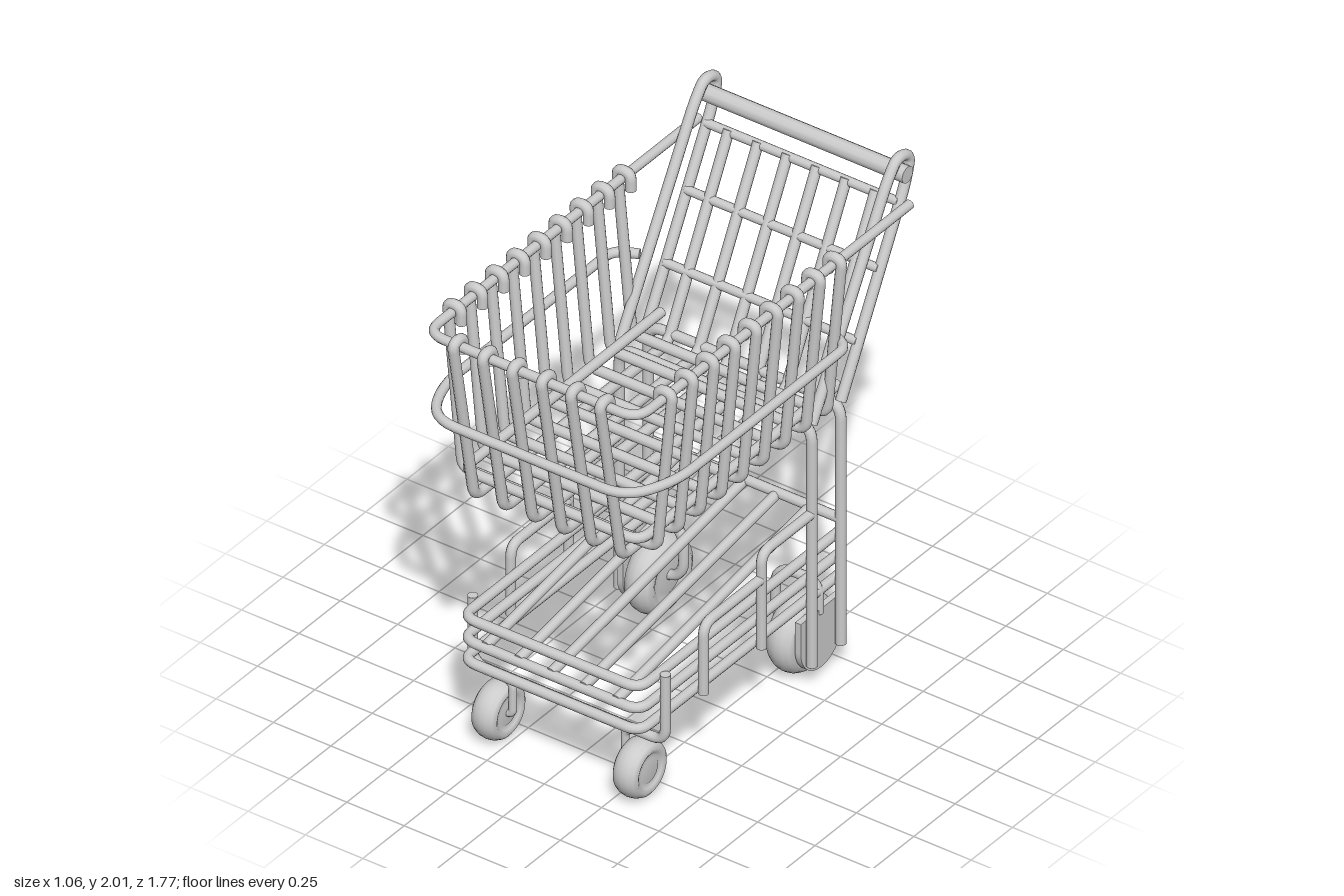
import * as THREE from 'three';
import { mergeGeometries } from 'three/addons/utils/BufferGeometryUtils.js';

const material = new THREE.MeshStandardMaterial({ color: 0xcccccc, side: THREE.DoubleSide });
const V = (x, y, z) => new THREE.Vector3(x, y, z);

// Curve that visits each listed point at equal steps of u
class Polyline extends THREE.Curve {
  constructor(points) { super(); this.points = points; }
  getPoint(u) {
    const f = u * (this.points.length - 1);
    const i = Math.min(Math.floor(f), this.points.length - 2);
    return this.points[i].clone().lerp(this.points[i + 1], f - i);
  }
  getPointAt(u) { return this.getPoint(u); }
  getTangentAt(u) {
    const n = this.points.length - 1, i = Math.round(u * n);
    const a = this.points[Math.max(i - 1, 0)], b = this.points[Math.min(i + 1, n)];
    return b.clone().sub(a).normalize();
  }
}

// Rounds the corners of a path with short curves
function roundPath(path, r) {
  const out = [path[0]];
  for (let i = 1; i < path.length - 1; i++) {
    const p = path[i], a = path[i - 1].clone().sub(p), b = path[i + 1].clone().sub(p);
    const d = Math.min(r, a.length() * 0.49, b.length() * 0.49);
    const bend = new THREE.QuadraticBezierCurve3(
      p.clone().addScaledVector(a.normalize(), d), p, p.clone().addScaledVector(b.normalize(), d));
    out.push(...bend.getPoints(6));
  }
  out.push(path[path.length - 1]);
  return out;
}

// Bent wire with closed ends
function wire(group, name, path, radius = 0.02, bend = 0.05) {
  const pts = roundPath(path, bend);
  const parts = [new THREE.TubeGeometry(new Polyline(pts), pts.length - 1, radius, 10, false)];
  for (const [end, next] of [[pts[0], pts[1]], [pts[pts.length - 1], pts[pts.length - 2]]]) {
    const cap = new THREE.CircleGeometry(radius, 10);
    const dir = end.clone().sub(next).normalize();
    cap.applyQuaternion(new THREE.Quaternion().setFromUnitVectors(V(0, 0, 1), dir));
    cap.translate(end.x, end.y, end.z);
    parts.push(cap);
  }
  const mesh = new THREE.Mesh(mergeGeometries(parts), material);
  mesh.name = name;
  group.add(mesh);
  return mesh;
}

// Completes a left half path with its mirror image
const mirrored = (half) => [...half, ...half.map(p => V(-p.x, p.y, p.z)).reverse()];

// Wheel with rounded tyre and a raised hub on both faces
function wheel(group, name, x, y, z, r, width) {
  const h = width / 2;
  const profile = [
    [0, -h * 0.8], [r * 0.42, -h * 0.8], [r * 0.5, -h * 0.68], [r * 0.6, -h * 0.85],
    [r * 0.74, -h], [r * 0.88, -h * 0.8], [r * 0.97, -h * 0.42], [r, 0],
  ];
  const all = [...profile, ...profile.slice(0, -1).map(([a, b]) => [a, -b]).reverse()];
  const geo = new THREE.LatheGeometry(all.map(([a, b]) => new THREE.Vector2(a, b)), 32);
  geo.rotateZ(Math.PI / 2);
  const mesh = new THREE.Mesh(geo, material);
  mesh.name = name;
  mesh.position.set(x, y, z);
  group.add(mesh);
}

export function createModel() {
  const cart = new THREE.Group();
  cart.name = 'shoppingCart';
  const sub = (name) => {
    const g = new THREE.Group();
    g.name = name;
    cart.add(g);
    return g;
  };
  const ribXs = [-0.32, -0.192, -0.064, 0.064, 0.192, 0.32];

  // Basket rails
  const basket = sub('basket');
  wire(basket, 'upperRim', mirrored([V(0.46, 1.8, -0.82), V(0.46, 1.8, 0.825)]), 0.019, 0.08);
  wire(basket, 'middleRail', mirrored([V(0.42, 1.46, -0.41), V(0.51, 1.46, -0.37),
    V(0.51, 1.46, 0.66), V(0.42, 1.46, 0.845)]), 0.019, 0.1);
  const lowerRail = (g, name, y) =>
    wire(g, name, mirrored([V(0.385, y, -0.49), V(0.385, y, 0.71)]), 0.02, 0.06);
  lowerRail(basket, 'floorRail', 1.18);

  // Cross ribs hooked over both side rims
  for (let i = 0; i < 9; i++) {
    const z = 0.655 - i * 0.128;
    wire(basket, 'crossRib', mirrored([V(0.43, 1.755, z), V(0.43, 1.825, z),
      V(0.49, 1.825, z), V(0.425, 1.14, z)]), 0.021, 0.045);
  }
  // Long ribs: front hook, front, floor and sloping back
  for (const x of ribXs) {
    wire(basket, 'longRib', [V(x, 1.76, 0.8), V(x, 1.825, 0.795), V(x, 1.825, 0.86),
      V(x, 1.1, 0.73), V(x, 1.1, -0.44), V(x, 1.81, -0.81)], 0.021, 0.045);
  }
  // Back panel bars
  for (const [y, z] of [[1.34, -0.56], [1.58, -0.69], [1.8, -0.81]]) {
    wire(basket, 'backBar', [V(0.42, y, z), V(-0.42, y, z)], 0.018);
  }

  // Handle and its side loops
  const handle = sub('handle');
  wire(handle, 'handleGrip', [V(-0.455, 1.927, -0.815), V(0.455, 1.927, -0.815)], 0.034);
  for (const s of [-1, 1]) {
    const x = 0.42 * s;
    wire(handle, 'handleLoop', [V(x, 1.14, -0.285), V(x, 1.92, -0.735), V(x, 2.0, -0.8),
      V(x, 1.97, -0.88), V(x, 1.86, -0.85), V(x, 1.14, -0.46)], 0.021, 0.07);
  }

  // Leg arches
  const frame = sub('frame');
  for (const z of [-0.285, -0.46]) {
    wire(frame, 'legArch', mirrored([V(0.42, 0.1, z), V(0.42, 1.13, z)]), 0.021, 0.07);
  }

  // Lower tray
  const tray = sub('lowerTray');
  for (const y of [0.36, 0.45, 0.545]) lowerRail(tray, 'trayRail', y);
  for (let i = -2; i <= 2; i++) {
    wire(tray, 'traySlat', [V(i * 0.1425, 0.457, 0.71), V(i * 0.1425, 0.63, -0.46)]);
  }
  wire(tray, 'trayBackBar', [V(-0.42, 0.635, -0.46), V(0.42, 0.635, -0.46)]);
  wire(tray, 'frontAxleFrame', mirrored([V(0.42, 0.56, 0.6), V(0.42, 0.27, 0.6)]), 0.02, 0.06);
  for (const s of [-1, 1]) {
    const x = 0.42 * s;
    wire(tray, 'upperStep', [V(x, 0.755, -0.285), V(x, 0.755, 0.02), V(x, 0.35, 0.02)]);
    wire(tray, 'lowerStep', [V(x, 0.645, 0.02), V(x, 0.645, 0.37), V(x, 0.35, 0.37)]);
  }

  // Wheels, forks and rear cover plates
  const wheels = sub('wheels');
  const plate = new THREE.Shape();
  plate.moveTo(0.125, 0.165);
  plate.lineTo(0.125, 0.29);
  plate.lineTo(-0.125, 0.29);
  plate.lineTo(-0.125, 0.165);
  plate.absarc(0, 0.165, 0.125, Math.PI, Math.PI * 2, false);
  const plateGeo = new THREE.ExtrudeGeometry(plate, { depth: 0.025, bevelEnabled: false, curveSegments: 24 });
  plateGeo.translate(0, 0, -0.0125);
  plateGeo.rotateY(Math.PI / 2);
  for (const s of [-1, 1]) {
    wheel(wheels, 'frontWheel', 0.308 * s, 0.118, 0.6, 0.116, 0.11);
    wire(wheels, 'frontFork', [V(0.285 * s, 0.27, 0.6), V(0.245 * s, 0.25, 0.6),
      V(0.245 * s, 0.118, 0.6), V(0.3 * s, 0.118, 0.6)], 0.016, 0.03);

    wheel(wheels, 'rearWheel', 0.31 * s, 0.16, -0.37, 0.158, 0.125);
    wire(wheels, 'rearFork', [V(0.385 * s, 0.165, -0.37), V(0.2 * s, 0.165, -0.37),
      V(0.2 * s, 0.4, -0.37), V(0.388 * s, 0.4, -0.37), V(0.388 * s, 0.27, -0.37)], 0.02, 0.09);
    const cover = new THREE.Mesh(plateGeo, material);
    cover.name = 'rearWheelPlate';
    cover.position.set(0.388 * s, 0, -0.37);
    wheels.add(cover);
  }
  return cart;
}
